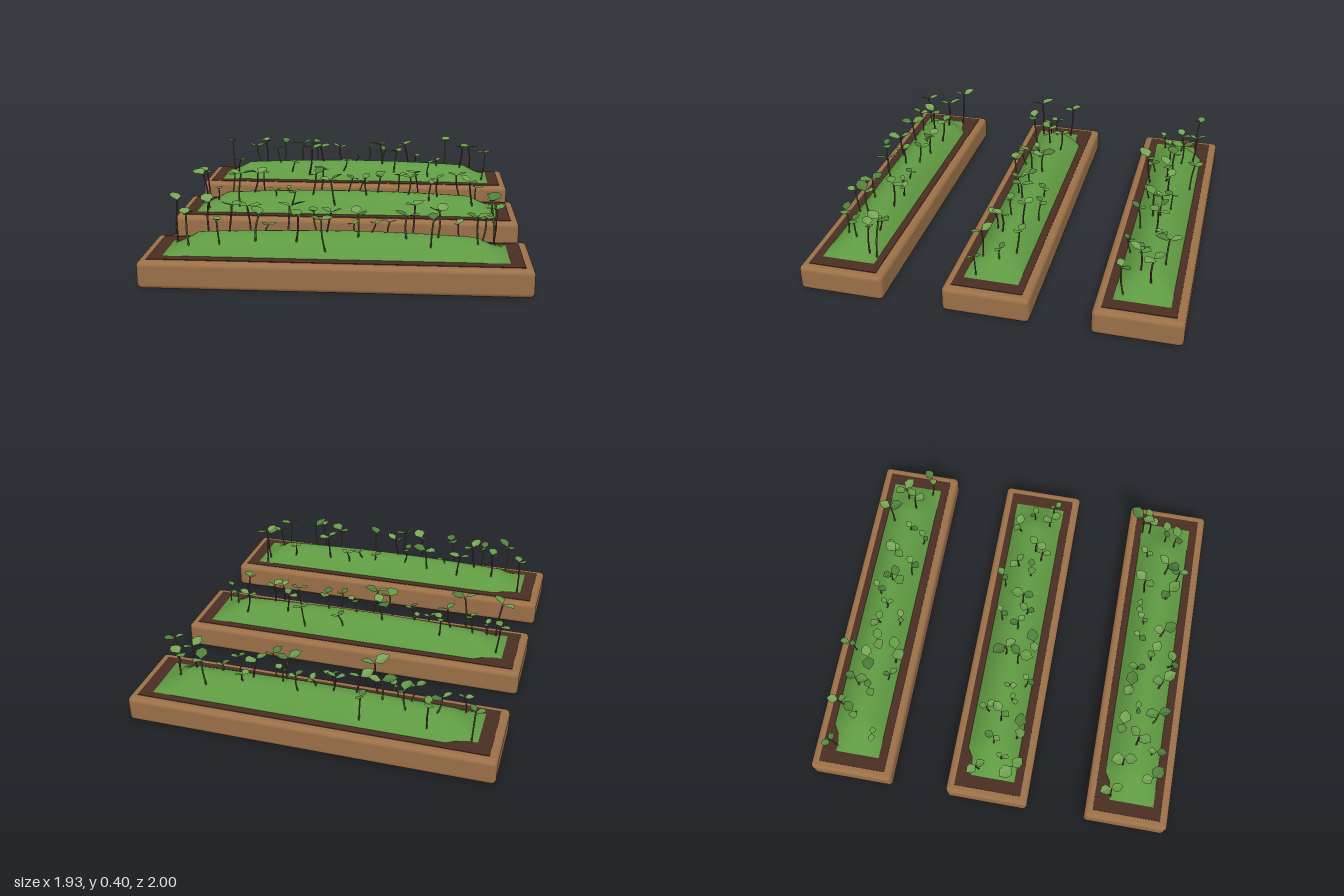
import * as THREE from 'three';
import { mergeGeometries } from 'three/addons/utils/BufferGeometryUtils.js';
import { RoundedBoxGeometry } from 'three/addons/geometries/RoundedBoxGeometry.js';

const SOIL_Y = 0.143;
const PLANTS_PER_BED = 25;
const LEAF_COLORS = [0x639a45, 0x4f7f3a, 0x74a554];
const STEM_COLORS = [0x5b6b3c, 0x5b6b3c, 0x6a3a4c];

// Each bed has one large seedling leaning out near its edge
const BEDS = [
  { name: 'backBed', z: -0.77, edgePlant: { x: -0.27, z: 0.13 } },
  { name: 'middleBed', z: -0.003, edgePlant: { x: -0.81, z: 0.12 } },
  { name: 'frontBed', z: 0.77, edgePlant: { x: 0.77, z: -0.16 } },
];

function seeded(seed) {
  let s = seed;
  return () => (s = (s * 16807) % 2147483647) / 2147483647;
}

function mesh(name, geometry, color, options = {}) {
  const m = new THREE.Mesh(geometry, new THREE.MeshStandardMaterial({ color, ...options }));
  m.name = name;
  return m;
}

// Height of the green mound above the soil
function moundHeight(x, z) {
  const end = THREE.MathUtils.clamp((0.85 - Math.abs(x)) / 0.15, 0, 1);
  const ridge = 0.1 - 0.045 * x * x;
  const side = Math.cos(Math.min(1, Math.abs(z) / 0.143) * Math.PI / 2);
  return ridge * end * Math.pow(Math.max(0, side), 0.9);
}

// Long dome with a nick in its back corner at the -x end
function moundGeometry() {
  const geo = new THREE.PlaneGeometry(1.7, 0.286, 34, 12).rotateX(-Math.PI / 2);
  const p = geo.attributes.position;
  for (let i = 0; i < p.count; i++) {
    const x = p.getX(i), z = p.getZ(i);
    const nick = z < 0 ? 1 - 0.3 * THREE.MathUtils.clamp((-0.7 - x) / 0.07, 0, 1) : 1;
    p.setXYZ(i, x, SOIL_Y + 0.002 + moundHeight(x, z), z * nick);
  }
  geo.computeVertexNormals();
  return geo;
}

// Pointed leaf along +x, creased on its midrib
function leafGeometry(length) {
  const outline = [[0, 0, 0], [0.35, 0.07, 0.4], [0.72, 0.05, 0.33], [1, -0.04, 0], [0.72, 0.05, -0.33], [0.35, 0.07, -0.4]];
  const geo = new THREE.BufferGeometry();
  geo.setAttribute('position', new THREE.Float32BufferAttribute(outline.flat(), 3));
  geo.setIndex([0, 1, 2, 0, 2, 3, 0, 3, 4, 0, 4, 5]);
  geo.computeVertexNormals();
  return geo.scale(length, length, length);
}

// Evenly spaced along the bed with jitter, scattered across its width
function scatterPlants(edgePlant, random) {
  const plants = [{ ...edgePlant, size: 0.088 }];
  for (let i = 0; i < PLANTS_PER_BED; i++) {
    plants.push({
      x: -0.8 + 1.6 * i / (PLANTS_PER_BED - 1) + (random() - 0.5) * 0.06,
      z: -0.14 + 0.27 * ((i * 0.618 + random() * 0.3) % 1),
      size: 0.042 + 0.042 * random(),
    });
  }
  return plants;
}

function seedlings(plants, random) {
  const leaves = LEAF_COLORS.map(() => []);
  const stems = STEM_COLORS.map(() => []);
  for (const { x, z, size } of plants) {
    const kind = Math.floor(random() * 3);
    const topY = size < 0.05 ? 0.25 + random() * 0.03 : 0.3 + (size - 0.05) * 1.3 + random() * 0.03;
    const top = new THREE.Vector3(x, topY, z);

    // Slightly bowed stem, rooted nearer the middle of the bed
    const rootX = THREE.MathUtils.clamp(x + (random() - 0.5) * 0.05, -0.83, 0.83);
    const rootZ = z * 0.88;
    const root = new THREE.Vector3(rootX, SOIL_Y + moundHeight(rootX, rootZ) - 0.005, rootZ);
    const bow = new THREE.Vector3((random() - 0.5) * 0.015, 0, (random() - 0.5) * 0.015);
    const path = new THREE.CatmullRomCurve3([root, root.clone().lerp(top, 0.55).add(bow), top]);
    stems[kind].push(new THREE.TubeGeometry(path, 4, 0.03 * size + 0.0025, 5));

    // Opposite pair of leaves rising outward
    const turn = random() * Math.PI * 2;
    for (const side of [0, 1]) {
      const leaf = leafGeometry(size * (side ? 0.85 : 1));
      leaf.rotateX((random() - 0.5) * 0.5).rotateZ(0.15 + random() * 0.35);
      leaf.rotateY(turn + side * (2.5 + random() * 0.9)).translate(top.x, top.y, top.z);
      leaves[(kind + side) % 3].push(leaf);
    }
  }
  const group = new THREE.Group();
  group.name = 'seedlings';
  stems.forEach((list, i) => {
    if (list.length) group.add(mesh('stems', mergeGeometries(list), STEM_COLORS[i]));
  });
  leaves.forEach((list, i) => {
    if (list.length) group.add(mesh('leaves', mergeGeometries(list), LEAF_COLORS[i], { flatShading: true, side: THREE.DoubleSide }));
  });
  return group;
}

export function createModel() {
  const model = new THREE.Group();
  model.name = 'gardenBeds';
  BEDS.forEach(({ name, z, edgePlant }, i) => {
    const random = seeded(101 + i * 977);
    const bed = new THREE.Group();
    bed.name = name;
    bed.position.z = z;

    // Wooden bed with softened edges
    const frame = mesh('woodenFrame', new RoundedBoxGeometry(1.926, 0.14, 0.456, 3, 0.025), 0x9b7048);
    frame.position.y = 0.07;

    // Thin soil layer
    const soil = mesh('soil', new THREE.BoxGeometry(1.84, 0.01, 0.37), 0x4a2f22);
    soil.position.y = SOIL_Y - 0.005;

    const mound = mesh('greenMound', moundGeometry(), 0x5f9a42, { side: THREE.DoubleSide });
    mound.position.z = -0.004;

    bed.add(frame, soil, mound, seedlings(scatterPlants(edgePlant, random), random));
    model.add(bed);
  });
  return model;
}
